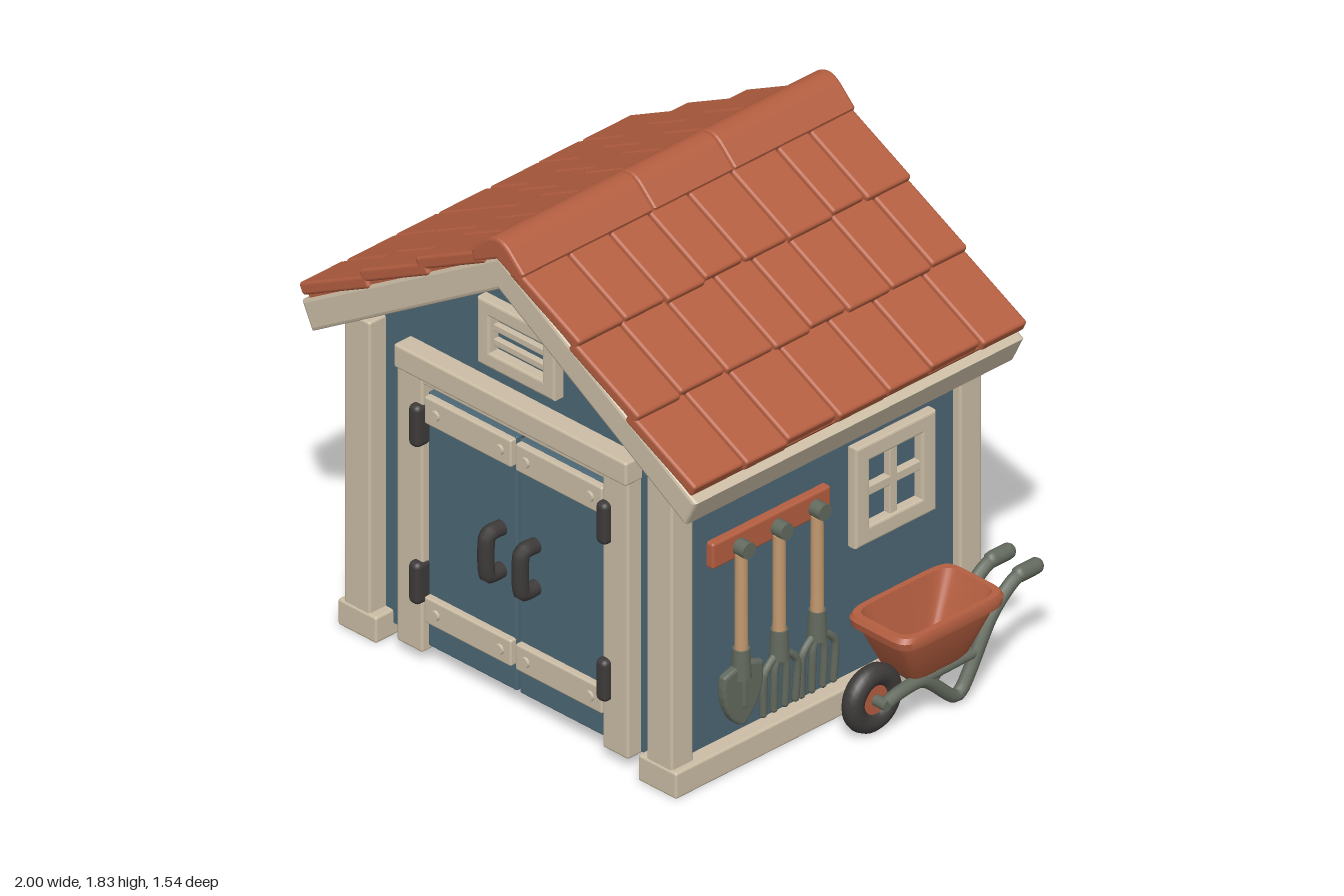
import * as THREE from 'three';
import { toCreasedNormals } from 'three/addons/utils/BufferGeometryUtils.js';
import { RoundedBoxGeometry } from 'three/addons/geometries/RoundedBoxGeometry.js';

const mat = (name, color) => {
  const m = new THREE.MeshStandardMaterial({ color });
  m.name = name;
  return m;
};
const M = {
  blue: mat('blue boards', 0x4c6775),
  cream: mat('cream trim', 0xcbbda5),
  tile: mat('terracotta', 0xb45e40),
  iron: mat('black iron', 0x3e3a3a),
  steel: mat('grey green steel', 0x636a5e),
  wood: mat('pale wood', 0xc49a70),
};
const CX = -0.075; // centre line of the shed

export function createModel() {
  const root = new THREE.Group();
  root.name = 'gardenShed';

  const add = (parent, name, geo, m, x = 0, y = 0, z = 0) => {
    const mesh = new THREE.Mesh(geo, m);
    mesh.name = name;
    mesh.position.set(x, y, z);
    parent.add(mesh);
    return mesh;
  };
  const group = (parent, name, x = 0, y = 0, z = 0) => {
    const g = new THREE.Group();
    g.name = name;
    g.position.set(x, y, z);
    parent.add(g);
    return g;
  };
  // Soft-edged box given by its limits
  const box = (parent, name, m, x0, x1, y0, y1, z0, z1, r = 0.01) =>
    add(parent, name, new RoundedBoxGeometry(x1 - x0, y1 - y0, z1 - z0, 2, r), m,
      (x0 + x1) / 2, (y0 + y1) / 2, (z0 + z1) / 2);
  const poly = (pts) => new THREE.Shape(pts.map(([x, y]) => new THREE.Vector2(x, y)));
  const extrude = (shape, depth, b = 0.008) => new THREE.ExtrudeGeometry(shape, {
    depth: depth - 2 * b, bevelEnabled: b > 0, bevelSize: b, bevelThickness: b,
    bevelOffset: -b, bevelSegments: 2, curveSegments: 8,
  }).translate(0, 0, b);
  const tube = (pts, r, seg = 20, tension = 0.5) => new THREE.TubeGeometry(
    new THREE.CatmullRomCurve3(pts.map((p) => new THREE.Vector3(...p)), false, 'catmullrom', tension), seg, r, 10);
  // Rectangular frame with an opening, centred on its own origin
  const frame = (w, h, b, depth) => {
    const rect = (a, c) => [[-a, -c], [a, -c], [a, c], [-a, c]];
    const s = poly(rect(w / 2, h / 2));
    s.holes.push(poly(rect(w / 2 - b, h / 2 - b)));
    return extrude(s, depth);
  };

  // Walls and floor as one gabled body
  const body = poly([[-0.73, 0.05], [0.73, 0.05], [0.73, 1.21], [0, 1.66], [-0.73, 1.21]]);
  add(root, 'walls', extrude(body, 1.3, 0), M.blue, CX, 0, -0.66);

  // Sills and corner posts
  for (const s of [-1, 1]) {
    const x = CX + s * 0.7;
    box(root, 'sill', M.cream, x - 0.09, x + 0.09, 0, 0.1, -0.72, 0.72);
    for (const z of [-0.665, 0.665]) {
      const px = CX + s * 0.705;
      box(root, 'cornerPost', M.cream, px - 0.06, px + 0.06, 0.08, 1.21, z - 0.05, z + 0.05);
    }
  }

  // Roof deck, showing as barge boards, eaves and soffit
  const deck = poly([[0, 1.755], [-0.92, 1.2], [-0.87, 1.1], [0, 1.63], [0.87, 1.1], [0.92, 1.2]]);
  add(root, 'roofDeck', extrude(deck, 1.52, 0.012), M.cream, CX, 0, -0.76);

  // Three overlapping tile courses on each slope, listed from the eave up
  const courses = [
    { end: 1.05, joints: [0.53, 0.33, 0.1, -0.13, -0.33, -0.56] },
    { end: 0.735, joints: [0.56, 0.35, 0.13, -0.04, -0.21, -0.41, -0.6] },
    { end: 0.42, joints: [0.55, 0.36, 0.18, 0, -0.2, -0.41, -0.56] },
  ];
  for (const s of [1, -1]) {
    const side = group(root, s > 0 ? 'leftRoofTiles' : 'rightRoofTiles', CX, 1.755, 0);
    if (s < 0) side.rotation.y = Math.PI;
    const slope = group(side, 'slope');
    slope.rotation.z = -Math.atan(0.606);
    box(slope, 'underlay', M.tile, 0.03, 1.04, -0.005, 0.016, -0.75, 0.75, 0.004);
    courses.forEach(({ end, joints }, row) => {
      const cuts = [0.768, ...joints, -0.768];
      for (let i = 0; i + 1 < cuts.length; i++) {
        const slip = 0.006 * Math.sin(i * 2.3 + row * 1.7) - 0.004;
        const t = add(slope, 'roofTile',
          new RoundedBoxGeometry(0.35, 0.046, cuts[i] - cuts[i + 1] - 0.005, 2, 0.012),
          M.tile, end - 0.175 + slip, 0.026, (cuts[i] + cuts[i + 1]) / 2);
        t.rotation.z = 0.075;
      }
    });
  }

  // Ridge caps
  const cap = new THREE.Shape();
  cap.moveTo(0.122, 1.74);
  cap.lineTo(0.055, 1.805);
  cap.quadraticCurveTo(0, 1.853, -0.055, 1.805);
  cap.lineTo(-0.122, 1.74);
  cap.lineTo(-0.108, 1.695);
  cap.lineTo(0, 1.75);
  cap.lineTo(0.108, 1.695);
  for (const [z0, z1] of [[-0.768, -0.21], [-0.21, 0.16], [0.16, 0.768]]) {
    add(root, 'ridgeCap', extrude(cap, z1 - z0, 0.01), M.tile, CX, 0, z0);
  }

  // Door surround
  box(root, 'doorJamb', M.cream, -0.61, -0.49, 0.04, 1.1, 0.6, 0.7);
  box(root, 'doorJamb', M.cream, 0.35, 0.47, 0.04, 1.1, 0.6, 0.7);
  box(root, 'doorHeader', M.cream, -0.61, 0.475, 1.09, 1.18, 0.6, 0.715);
  box(root, 'doorHeaderTrim', M.cream, -0.5, 0.36, 1.065, 1.1, 0.6, 0.695, 0.006);
  add(root, 'doorGap', new THREE.BoxGeometry(0.03, 0.97, 0.006), M.iron, -0.07, 0.545, 0.643);

  // Double doors, each with two battens, two hinges and a pull handle
  for (const s of [-1, 1]) {
    const door = group(root, s < 0 ? 'rightDoor' : 'leftDoor', -0.07, 0, 0);
    const span = (name, m, a, b, ...rest) =>
      box(door, name, m, Math.min(s * a, s * b), Math.max(s * a, s * b), ...rest);
    span('doorPanel', M.blue, 0.006, 0.42, 0.06, 1.03, 0.62, 0.672, 0.006);
    for (const [y0, y1] of [[0.16, 0.26], [0.92, 1.025]]) {
      span('batten', M.cream, 0.01, 0.415, y0, y1, 0.64, 0.697, 0.008);
      for (const x of [0.06, 0.36]) {
        const screw = add(door, 'screw', new THREE.CylinderGeometry(0.018, 0.02, 0.012, 12), M.cream,
          s * x, (y0 + y1) / 2, 0.7);
        screw.rotation.x = Math.PI / 2;
      }
    }
    for (const y of [0.31, 0.91]) {
      span('hinge', M.iron, 0.412, 0.462, y - 0.08, y + 0.08, 0.66, 0.73, 0.02);
    }
    add(door, 'pullHandle', tube([[0, -0.08, 0], [0, -0.08, 0.055], [0, -0.055, 0.072],
      [0, 0.055, 0.072], [0, 0.08, 0.055], [0, 0.08, 0]], 0.029, 24), M.iron, s * 0.08, 0.575, 0.668);
  }

  // Gable vent with slats
  const vent = group(root, 'gableVent', -0.07, 1.375, 0.64);
  add(vent, 'ventFrame', frame(0.36, 0.25, 0.056, 0.05), M.cream, 0, 0, -0.005);
  for (const y of [-0.036, 0.02]) {
    box(vent, 'ventSlat', M.cream, -0.13, 0.13, y - 0.013, y + 0.013, -0.01, 0.022, 0.004);
  }

  // One four-pane window in each side wall
  for (const s of [-1, 1]) {
    const win = group(root, 'sideWindow', CX + s * 0.73, 0.78, -0.315);
    win.rotation.y = s * Math.PI / 2;
    add(win, 'windowFrame', frame(0.37, 0.38, 0.064, 0.045), M.cream, 0, 0, -0.005);
    box(win, 'glazingBar', M.cream, -0.018, 0.018, -0.14, 0.14, -0.01, 0.028, 0.005);
    box(win, 'glazingBar', M.cream, -0.14, 0.14, -0.018, 0.018, -0.01, 0.028, 0.005);
  }

  // Tool rack: local x runs to the back, local z runs out of the wall
  const rack = group(root, 'toolRack', 0.655, 0, 0);
  rack.rotation.y = Math.PI / 2;
  box(rack, 'rackBoard', M.tile, -0.52, 0.025, 0.78, 0.878, -0.01, 0.03);
  const blade = new THREE.Shape();
  blade.moveTo(-0.09, 0.36);
  blade.quadraticCurveTo(0, 0.4, 0.09, 0.36);
  blade.bezierCurveTo(0.105, 0.25, 0.05, 0.18, 0, 0.148);
  blade.bezierCurveTo(-0.06, 0.17, -0.105, 0.25, -0.09, 0.36);
  [-0.4, -0.225, -0.05].forEach((u, i) => {
    const tool = group(rack, i ? 'gardenFork' : 'shovel', u, 0, 0.04);
    add(tool, 'peg', new THREE.CylinderGeometry(0.03, 0.03, 0.06, 14), M.steel, 0, 0.825, 0.008).rotation.x = Math.PI / 2;
    add(tool, 'toolHandle', new THREE.CylinderGeometry(0.022, 0.024, 0.4, 12), M.wood, 0, 0.6, 0);
    add(tool, 'socket', new THREE.CylinderGeometry(0.03, 0.036, 0.11, 12), M.steel, 0, 0.385, 0);
    if (i === 0) {
      add(tool, 'shovelBlade', extrude(blade, 0.035, 0.01), M.steel, 0, 0, -0.02);
      box(tool, 'bladeRib', M.steel, -0.012, 0.012, 0.22, 0.36, 0, 0.025, 0.008);
    } else {
      for (const d of [-0.078, -0.027, 0.027, 0.078]) {
        add(tool, 'tine', tube([[0, 0.36, 0], [d * 0.8, 0.315, 0.005], [d, 0.27, 0.005], [d * 0.95, 0.145, 0]], 0.014, 14), M.steel);
        add(tool, 'tineTip', new THREE.SphereGeometry(0.014, 10, 6), M.steel, d * 0.95, 0.145, 0);
      }
    }
  });

  // Wheelbarrow, in the same turned frame as the rack
  const barrow = group(root, 'wheelbarrow', 0.848, 0, 0);
  barrow.rotation.y = Math.PI / 2;
  // Hollow tray lofted through rounded rectangles: [centre, height, half length, half width]
  const rings = [[0.29, 0.165, 0, 0], [0.29, 0.165, 0.115, 0.075], [0.292, 0.185, 0.135, 0.09],
    [0.302, 0.335, 0.215, 0.132], [0.303, 0.342, 0.238, 0.147], [0.303, 0.37, 0.244, 0.151],
    [0.303, 0.387, 0.234, 0.143], [0.303, 0.387, 0.212, 0.122], [0.302, 0.36, 0.2, 0.115],
    [0.292, 0.2, 0.12, 0.075], [0.292, 0.2, 0, 0]];
  const N = 40, pos = [], idx = [];
  const soft = (v) => Math.sign(v) * Math.abs(v) ** 0.3;
  rings.forEach(([c, y, hx, hz], r) => {
    for (let i = 0; i < N; i++) {
      const a = (i / N) * Math.PI * 2;
      pos.push(c + soft(Math.cos(a)) * hx, y, -soft(Math.sin(a)) * hz);
      if (r + 1 < rings.length) {
        const p = r * N + i, q = r * N + (i + 1) % N;
        idx.push(p, q, q + N, p, q + N, p + N);
      }
    }
  });
  const tray = new THREE.BufferGeometry();
  tray.setAttribute('position', new THREE.Float32BufferAttribute(pos, 3));
  tray.setIndex(idx);
  add(barrow, 'tray', toCreasedNormals(tray, 0.7), M.tile);

  // Wheel
  const wheel = group(barrow, 'wheel', 0.05, 0.125, 0);
  add(wheel, 'tyre', new THREE.TorusGeometry(0.086, 0.039, 12, 32), M.iron);
  const rod = (parent, name, r, len, m, x = 0, y = 0) => {
    add(parent, name, new THREE.CylinderGeometry(r, r, len, 18), m, x, y, 0).rotation.x = Math.PI / 2;
  };
  rod(wheel, 'hubDisc', 0.062, 0.04, M.tile);
  rod(wheel, 'axle', 0.02, 0.15, M.steel);

  // Bent frame rails with grips, and cross bars
  for (const s of [-1, 1]) {
    const z = s * 0.065;
    add(barrow, 'frameRail', tube([[0.05, 0.13], [0.12, 0.148], [0.21, 0.15], [0.27, 0.11], [0.355, 0.034],
      [0.395, 0.036], [0.44, 0.1], [0.53, 0.255], [0.61, 0.335], [0.67, 0.365], [0.74, 0.368]]
      .map(([u, v]) => [u, v, z]), 0.024, 60), M.steel);
    add(barrow, 'grip', new THREE.CapsuleGeometry(0.029, 0.07, 6, 12), M.steel, 0.704, 0.367, z).rotation.z = Math.PI / 2;
    add(barrow, 'trayBrace', tube([[0.2, 0.15, z], [0.32, 0.152, z], [0.47, 0.155, z]], 0.018, 8), M.steel);
  }
  rod(barrow, 'crossBar', 0.016, 0.13, M.steel, 0.22, 0.145);
  rod(barrow, 'crossBar', 0.016, 0.13, M.steel, 0.45, 0.12);

  return root;
}
